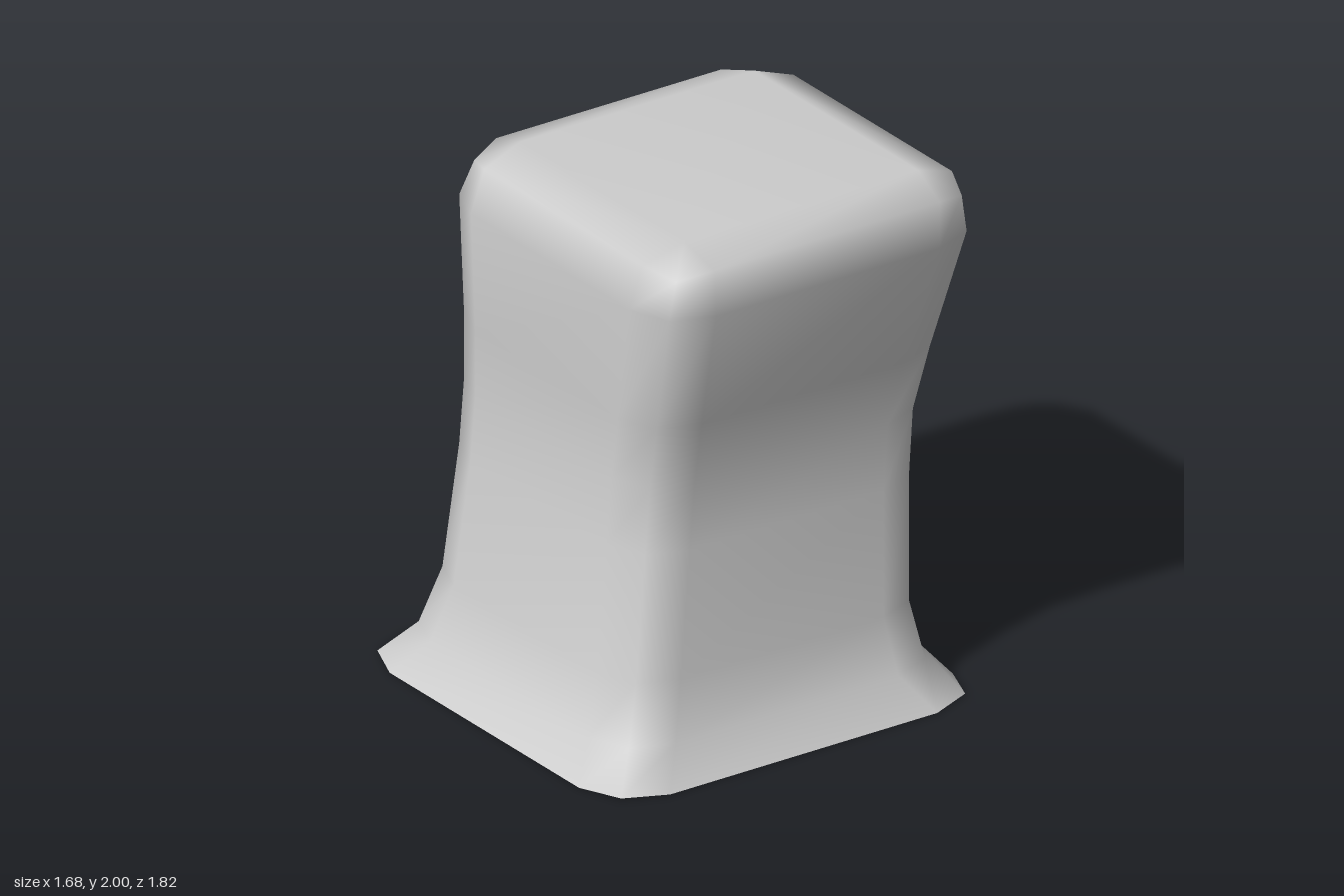
import * as THREE from 'three';

// Rounded-square cross-sections: y, xMin, xMax, zMin, zMax, corner radius, corner lift
const SECTIONS = [
  [0.0, -0.84, 0.84, -0.77, 0.91, 0.24, 0.005],
  [0.13, -0.74, 0.72, -0.67, 0.79, 0.23, 0],
  [0.34, -0.71, 0.64, -0.65, 0.7, 0.22, 0],
  [0.8, -0.745, 0.555, -0.71, 0.6, 0.22, 0],
  [1.05, -0.77, 0.53, -0.745, 0.56, 0.22, 0],
  [1.3, -0.785, 0.56, -0.8, 0.55, 0.22, 0],
  [1.77, -0.815, 0.645, -0.91, 0.555, 0.23, 0],
  [1.94, -0.77, 0.615, -0.89, 0.5, 0.19, -0.03],
];
const TOP = [2, -0.59, 0.45, -0.72, 0.33];
const CORNERS = [[1, 1], [1, -1], [-1, -1], [-1, 1]];
const RING = 12;

function buildShell() {
  const positions = [];
  const index = [];

  // Three points round each corner of every section
  for (const [y, x0, x1, z0, z1, r, lift] of SECTIONS) {
    CORNERS.forEach(([sx, sz], k) => {
      const x = sx > 0 ? x1 : x0;
      const z = sz > 0 ? z1 : z0;
      const m = r * 0.28;
      const insets = [[r, 0, 0], [m, m, lift], [0, r, 0]];
      if (k % 2) insets.reverse();
      for (const [dx, dz, dy] of insets) positions.push(x - sx * dx, y + dy, z - sz * dz);
    });
  }

  // Side walls
  const last = SECTIONS.length - 1;
  for (let s = 0; s < last; s++) {
    for (let i = 0; i < RING; i++) {
      const a = s * RING + i;
      const b = s * RING + ((i + 1) % RING);
      index.push(a, b, b + RING, a, b + RING, a + RING);
    }
  }

  // Flat top, its four corners each gathering three points of the bevel
  const base = positions.length / 3;
  const [ty, tx0, tx1, tz0, tz1] = TOP;
  for (const [sx, sz] of CORNERS) positions.push(sx > 0 ? tx1 : tx0, ty, sz > 0 ? tz1 : tz0);
  for (let i = 0; i < RING; i++) {
    const j = (i + 1) % RING;
    const a = last * RING + i;
    const b = last * RING + j;
    const c = base + Math.floor(i / 3);
    const d = base + Math.floor(j / 3);
    index.push(a, b, d);
    if (c !== d) index.push(a, d, c);
  }
  index.push(base, base + 1, base + 2, base, base + 2, base + 3);

  const geometry = new THREE.BufferGeometry();
  geometry.setAttribute('position', new THREE.Float32BufferAttribute(positions, 3));
  geometry.setIndex(index);
  geometry.computeVertexNormals();
  return geometry;
}

export function createModel() {
  const group = new THREE.Group();
  group.name = 'leaningBlock';
  // Hollow shell, open underneath
  const material = new THREE.MeshStandardMaterial({ color: 0xcccccc, side: THREE.DoubleSide });
  const shell = new THREE.Mesh(buildShell(), material);
  shell.name = 'flaredShell';
  group.add(shell);
  return group;
}
